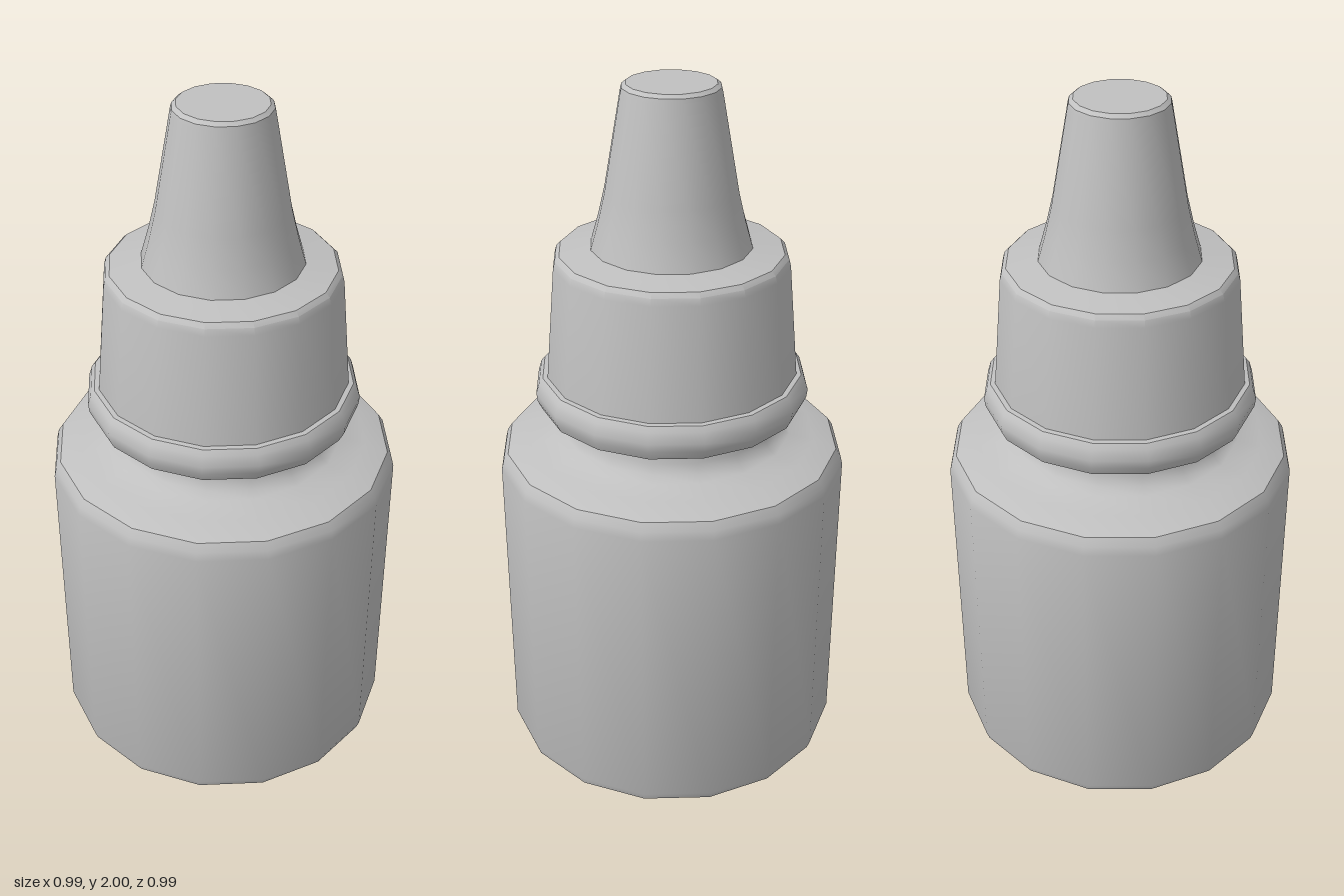
import * as THREE from 'three';
import { toCreasedNormals } from 'three/addons/utils/BufferGeometryUtils.js';

const SIDES = 16;

export function createModel() {
  const group = new THREE.Group();
  const plastic = new THREE.MeshStandardMaterial({ color: 0xc0c0c0 });
  plastic.name = 'grey plastic';

  // Turned part from [radius, height] points, listed bottom to top
  const turned = (name, profile) => {
    const points = profile.map(([r, y]) => new THREE.Vector2(r, y));
    const geometry = toCreasedNormals(new THREE.LatheGeometry(points, SIDES), 0.6);
    const mesh = new THREE.Mesh(geometry, plastic);
    mesh.name = name;
    group.add(mesh);
  };

  // Bottle with rounded base, sloping shoulder and flared neck
  turned('bottle', [
    [0, 0], [0.43, 0], [0.465, 0.008], [0.487, 0.022], [0.495, 0.045],
    [0.495, 0.92], [0.489, 0.945], [0.475, 0.967],
    [0.41, 0.99], [0.34, 1.003], [0.318, 1.02], [0.304, 1.045], [0.3, 1.1],
  ]);

  // Collar bead under the cap
  turned('collar', [
    [0.28, 1.085], [0.345, 1.085], [0.37, 1.098], [0.383, 1.125],
    [0.386, 1.15], [0.377, 1.18], [0.366, 1.194], [0.34, 1.197],
  ]);

  // Tapered cap with softened top rim
  turned('cap', [
    [0.353, 1.19], [0.325, 1.515], [0.32, 1.535], [0.308, 1.547], [0.21, 1.562],
  ]);

  // Dropper nozzle, slightly flared at its foot
  turned('nozzle', [
    [0.222, 1.558], [0.2, 1.635], [0.181, 1.715], [0.134, 1.98],
    [0.131, 1.991], [0.12, 2], [0, 2],
  ]);

  return group;
}
